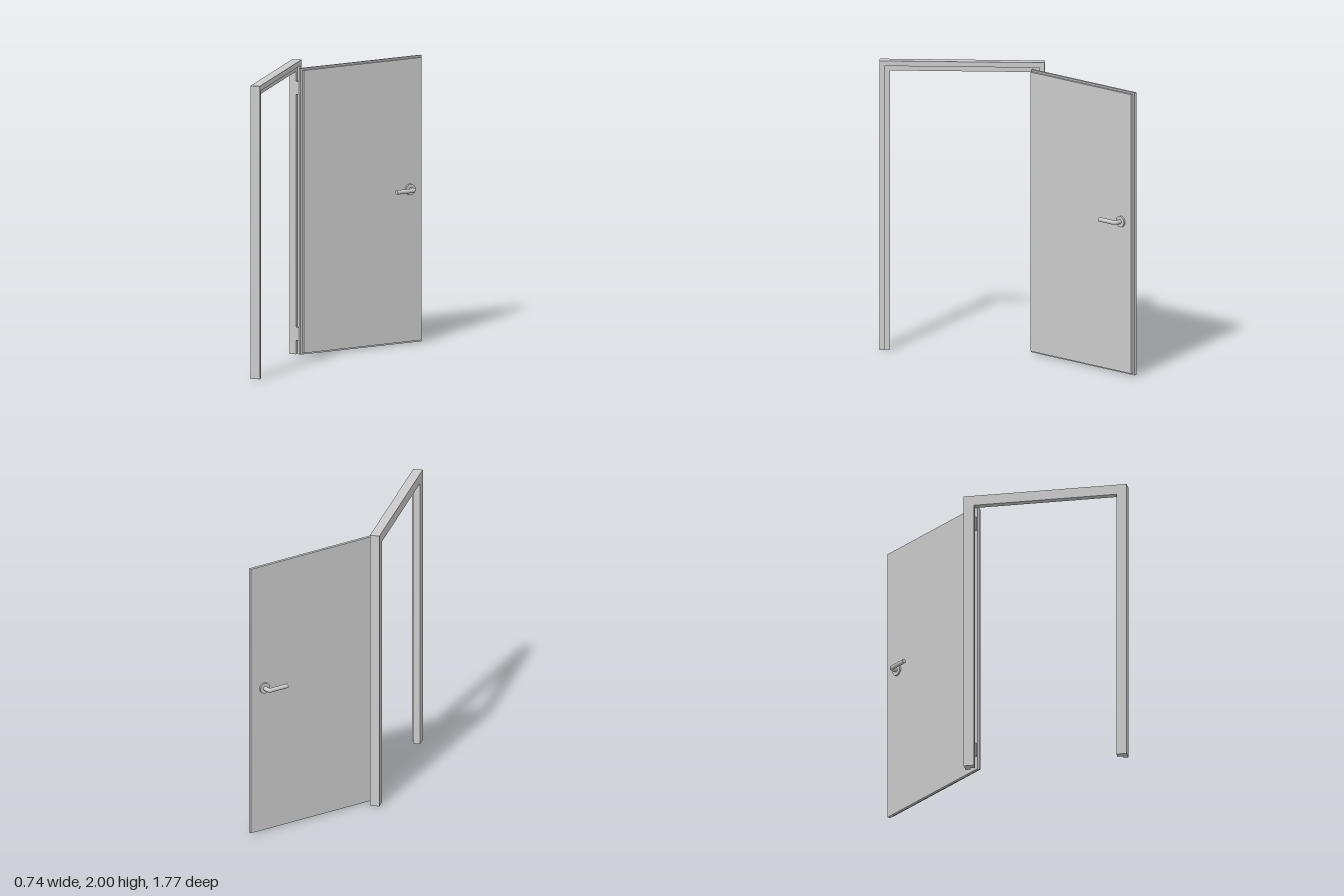
import * as THREE from 'three';

const material = new THREE.MeshStandardMaterial({ color: 0xcccccc });

function add(parent, name, geometry, x = 0, y = 0, z = 0) {
  const mesh = new THREE.Mesh(geometry, material);
  mesh.name = name;
  mesh.position.set(x, y, z);
  parent.add(mesh);
  return mesh;
}

// Upside-down U seen along x: two posts and a head, with the given face width
function portal(width, depth) {
  const z0 = -0.23, z1 = 0.885, top = 2;
  const points = [
    [z0, 0], [z0, top], [z1, top], [z1, 0],
    [z1 - width, 0], [z1 - width, top - width], [z0 + width, top - width], [z0 + width, 0],
  ];
  const shape = new THREE.Shape(points.map(([z, y]) => new THREE.Vector2(-z, y)));
  return new THREE.ExtrudeGeometry(shape, { depth, bevelEnabled: false }).rotateY(Math.PI / 2);
}

// Round bar: straight neck, rounded elbow, straight grip pointing to -z
function leverGeometry(reach, length, radius) {
  const bend = 0.025;
  const v = (x, z) => new THREE.Vector3(x, 0, z);
  const path = new THREE.CurvePath();
  path.add(new THREE.LineCurve3(v(0, 0), v(reach - bend, 0)));
  path.add(new THREE.QuadraticBezierCurve3(v(reach - bend, 0), v(reach, 0), v(reach, -bend)));
  path.add(new THREE.LineCurve3(v(reach, -bend), v(reach, -length)));
  return new THREE.TubeGeometry(path, 40, radius, 16, false);
}

function createHandle(name, side) {
  const handle = new THREE.Group();
  handle.name = name;
  const rosette = new THREE.CylinderGeometry(0.038, 0.038, 0.014, 32).rotateZ(Math.PI / 2);
  add(handle, 'rosette', rosette, 0.025, 0, 0);
  add(handle, 'lever', leverGeometry(0.078, 0.147, 0.015), 0, 0, 0);
  add(handle, 'leverEnd', new THREE.CircleGeometry(0.015, 16).rotateY(Math.PI), 0.078, 0, -0.147);
  // Half a turn about the grip direction gives the opposite side
  if (side < 0) handle.rotation.z = Math.PI;
  handle.position.set(-0.02, 1.053, 0.872);
  return handle;
}

export function createModel() {
  const model = new THREE.Group();
  model.name = 'openDoor';

  // Frame with a rebate on the side the leaf closes against
  const frame = new THREE.Group();
  frame.name = 'frame';
  model.add(frame);
  add(frame, 'frameBody', portal(0.07, 0.045), -0.37);
  add(frame, 'frameRebate', portal(0.035, 0.02), -0.325);

  // Leaf swung open around its hinge edge
  const leaf = new THREE.Group();
  leaf.name = 'leaf';
  leaf.position.set(-0.302, 0, -0.15);
  leaf.rotation.y = THREE.MathUtils.degToRad(138.4);
  model.add(leaf);
  add(leaf, 'outerPanel', new THREE.BoxGeometry(0.02, 1.953, 0.98), -0.01, 0.9795, 0.49);
  add(leaf, 'innerPanel', new THREE.BoxGeometry(0.02, 1.93, 0.95), -0.03, 0.98, 0.49);
  leaf.add(createHandle('outerHandle', 1), createHandle('innerHandle', -1));

  // Hinges between post and leaf
  for (const y of [0.142, 1.82]) {
    const hinge = new THREE.Group();
    hinge.name = 'hinge';
    hinge.position.set(-0.295, y, -0.156);
    model.add(hinge);
    add(hinge, 'hingeBarrel', new THREE.CylinderGeometry(0.006, 0.006, 0.09, 16));
    add(hinge, 'hingePlate', new THREE.BoxGeometry(0.03, 0.09, 0.004), -0.015, 0, 0);
  }
  return model;
}
